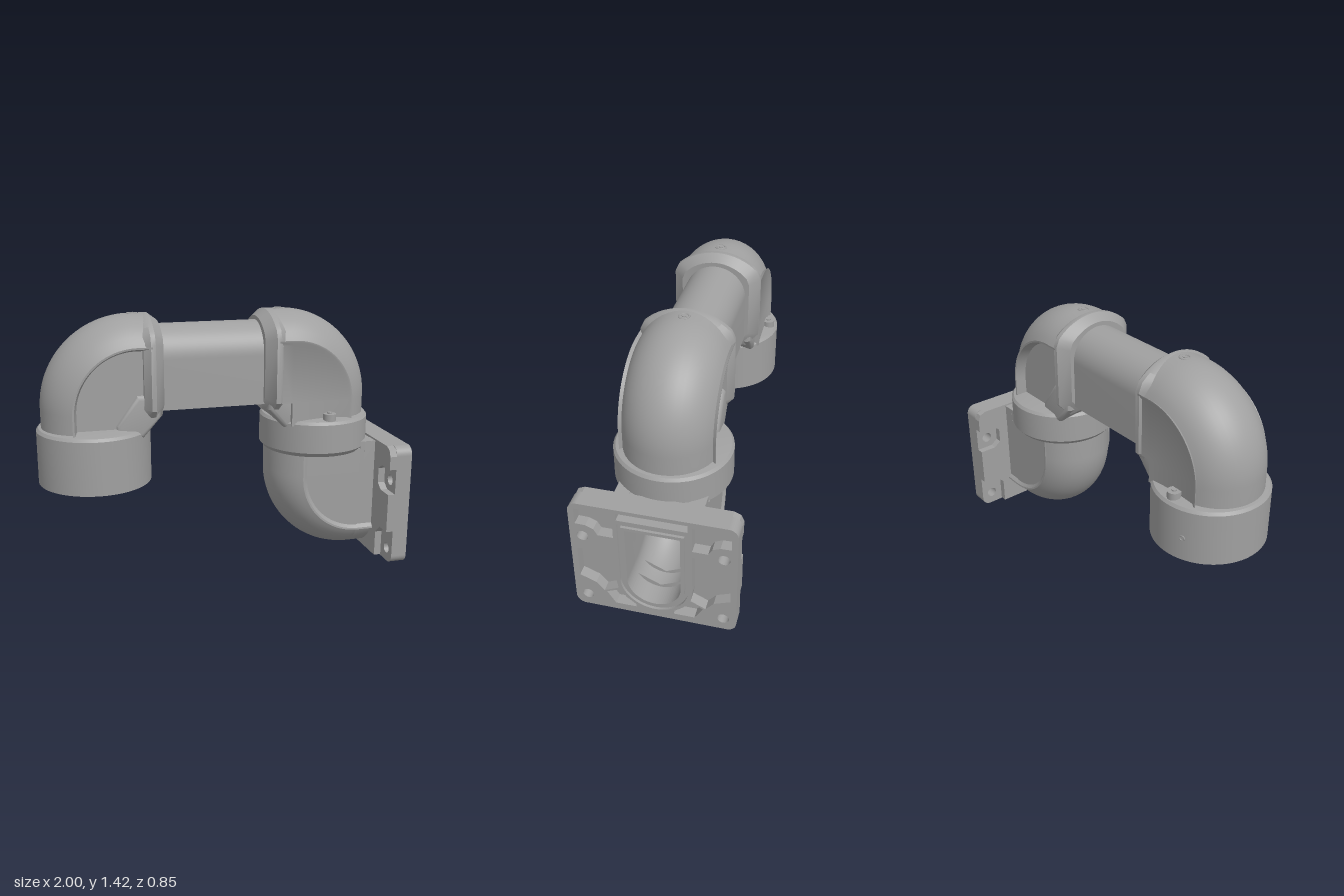
import * as THREE from 'three';
import { toCreasedNormals } from 'three/addons/utils/BufferGeometryUtils.js';

const grey = new THREE.MeshStandardMaterial({ color: 0xa0a0a0, side: THREE.DoubleSide });
grey.name = 'castGrey';

function part(name, geometry, parent, x = 0, y = 0, z = 0) {
  const mesh = new THREE.Mesh(geometry, grey);
  mesh.name = name;
  mesh.position.set(x, y, z);
  parent.add(mesh);
  return mesh;
}

// Skin a list of closed rings of points, optionally capping each end
function loft(rings, capStart = true, capEnd = true) {
  const pos = [];
  const tri = (a, b, c) => [a, b, c].forEach(p => pos.push(p.x, p.y, p.z));
  const n = rings[0].length;
  for (let i = 0; i < rings.length - 1; i++) {
    for (let j = 0; j < n; j++) {
      const k = (j + 1) % n, A = rings[i], B = rings[i + 1];
      tri(A[j], A[k], B[k]);
      tri(A[j], B[k], B[j]);
    }
  }
  const cap = (ring, flip) => {
    const c = ring.reduce((s, p) => s.add(p), new THREE.Vector3()).divideScalar(n);
    ring.forEach((p, j) => {
      const q = ring[(j + 1) % n];
      flip ? tri(c, q, p) : tri(c, p, q);
    });
  };
  if (capStart) cap(rings[0], true);
  if (capEnd) cap(rings[rings.length - 1], false);
  const g = new THREE.BufferGeometry();
  g.setAttribute('position', new THREE.Float32BufferAttribute(pos, 3));
  return toCreasedNormals(g, 0.55);
}

// Sweep a (radius, z) section through a quarter bend with straight ends; sy = -1 bends downwards
function bend(section, cx, cy, sy, legY, legX, capStart, capEnd) {
  const station = (a, dx, dy) => section.map(([r, z]) =>
    new THREE.Vector3(cx - r * Math.cos(a) + dx, cy + sy * (r * Math.sin(a) + dy), z));
  const rings = [station(0, 0, -legY)];
  const steps = 28;
  for (let i = 0; i <= steps; i++) rings.push(station(i / steps * Math.PI / 2, 0, 0));
  rings.push(station(Math.PI / 2, legX, 0));
  return loft(rings, capStart, capEnd);
}

// Domed elbow section with a panel of given depth on each side
function elbowSection(back, front) {
  const dome = [];
  for (let i = -10; i <= 10; i++) {
    const t = i / 10 * 1.3;
    dome.push([0.235 + 0.255 * Math.cos(t), 0.25 * Math.sin(t)]);
  }
  return [[0, -back], [0.318, -back], [0.335, -0.245], [0.345, -0.246], ...dome.slice(1, -1),
    [0.345, 0.246], [0.335, 0.245], [0.318, front], [0, front]];
}

// U outline: flat top, round bottom
function uPath(w, top, bottom, Type = THREE.Path) {
  const p = new Type();
  p.moveTo(-w, top);
  p.lineTo(-w, bottom + w);
  p.absarc(0, bottom + w, w, Math.PI, Math.PI * 2, false);
  p.lineTo(w, top);
  p.closePath();
  return p;
}

function polygon(points, Type = THREE.Path) {
  return new Type(points.map(([x, y]) => new THREE.Vector2(x, y)));
}

function extrude(shape, depth) {
  return new THREE.ExtrudeGeometry(shape, { depth, bevelEnabled: false, curveSegments: 20 });
}

function roundedPlate() {
  const w = 0.427, h = 0.69, r = 0.05, s = new THREE.Shape();
  s.absarc(w - r, r, r, -Math.PI / 2, 0);
  s.absarc(w - r, h - r, r, 0, Math.PI / 2);
  s.absarc(r - w, h - r, r, Math.PI / 2, Math.PI);
  s.absarc(r - w, r, r, Math.PI, Math.PI * 1.5);
  s.closePath();
  return s;
}

// Upper elbow with its collar, corner gusset and top screw
function upperElbow(name) {
  const g = new THREE.Group();
  g.name = name;
  part('elbowBody', bend(elbowSection(0.235, 0.19), -0.48, 0.93, 1, 0.13, 0.08, true, true), g);

  const ring = [[-0.245, -0.2], [-0.17, -0.285], [0.17, -0.285], [0.245, -0.2], [0.245, 0.15], [0.225, 0.195]];
  for (let i = 1; i < 16; i++) {
    const t = (1 - i / 8) * 0.76;
    ring.push([0.326 * Math.sin(t), -0.041 + 0.326 * Math.cos(t)]);
  }
  ring.push([-0.225, 0.195], [-0.245, 0.15]);
  const slice = (x, sz, sy) => ring.map(([z, y]) => new THREE.Vector3(x, 1.135 + y * sy, z * sz));
  part('tubeCollar', loft([slice(-0.445, 0.88, 0.95), slice(-0.41, 1, 1), slice(-0.385, 1, 1), slice(-0.335, 0.78, 0.87)]), g);

  const gusset = polygon([[-0.57, 0.81], [-0.57, 0.85], [-0.47, 0.99], [-0.38, 0.99], [-0.38, 0.9], [-0.46, 0.81]], THREE.Shape);
  part('cornerGusset', toCreasedNormals(new THREE.ExtrudeGeometry(gusset,
    { depth: 0.36, bevelThickness: 0.03, bevelSize: 0.025, bevelSegments: 4 }), 0.6), g, 0, 0, -0.18);

  const screw = part('topScrew', new THREE.TorusGeometry(0.026, 0.005, 6, 24), g, -0.465, 1.418, 0);
  screw.rotation.x = Math.PI / 2;
  part('topScrewHead', new THREE.CylinderGeometry(0.012, 0.012, 0.01, 6), g, -0.465, 1.418, 0);
  // Locking screw boss on the ring shoulder
  part('lockBoss', new THREE.CylinderGeometry(0.036, 0.036, 0.05, 24), g, -0.69, 0.84, -0.255);
  part('lockScrew', new THREE.CylinderGeometry(0.014, 0.014, 0.01, 6), g, -0.69, 0.867, -0.255);
  return g;
}

function lathe(points) {
  return toCreasedNormals(new THREE.LatheGeometry(points.map(p => new THREE.Vector2(...p)), 64), 0.5);
}

export function createModel() {
  const model = new THREE.Group();
  model.name = 'pipeArm';

  // Two identical elbows, one turned half a circle
  model.add(upperElbow('leftElbow'));
  const right = upperElbow('rightElbow');
  right.rotation.y = Math.PI;
  right.position.x = -0.115;
  model.add(right);

  // Connecting tube, flat sided with a round top
  const tubeAt = x => uPath(0.17, -0.92, -1.36).getPoints(20).slice(0, -1)
    .map(p => new THREE.Vector3(x, -p.y, p.x));
  part('crossTube', loft([tubeAt(-0.37), tubeAt(0.255)]), model);

  // Open socket on the left
  const socket = new THREE.Group();
  socket.name = 'leftSocket';
  socket.position.x = -0.69;
  model.add(socket);
  part('socketShell', lathe([[0, 0.7], [0.19, 0.7], [0.19, 0.57], [0.212, 0.57], [0.212, 0.63], [0.27, 0.63],
    [0.27, 0.52], [0.307, 0.52], [0.307, 0.81], [0.295, 0.825], [0.22, 0.84], [0, 0.84]]), socket);
  for (let i = 0; i < 4; i++) {
    const a = i * Math.PI / 2 + Math.PI / 4;
    const tab = part('socketTab', new THREE.BoxGeometry(0.06, 0.1, 0.05), socket, 0.245 * Math.cos(a), 0.585, 0.245 * Math.sin(a));
    tab.rotation.y = -a;
  }
  const pin = part('setScrew', new THREE.TorusGeometry(0.013, 0.004, 6, 20), socket, -0.102, 0.65, -0.289);
  pin.rotation.y = Math.atan2(-0.102, -0.289);

  // Swivel ring on the right
  part('rightRing', lathe([[0, 0.625], [0.285, 0.625], [0.307, 0.65], [0.307, 0.81], [0.295, 0.825], [0.22, 0.84], [0, 0.84]]), model, 0.575);

  // Lower hollow elbow; inner edge of the section is left to the bore
  const lower = new THREE.Group();
  lower.name = 'lowerElbow';
  model.add(lower);
  const section = elbowSection(0.232, 0.232);
  section[0][0] = section[section.length - 1][0] = 0;
  part('lowerBody', bend(section.map(([r, z]) => [r, z]), 0.78, 0.5, -1, 0.14, 0, true, false), lower);
  const skin = [...section.slice(1, -1), ...section.slice(1, -1).reverse().map(([r, z]) => [r - 0.02, z * 0.9])];
  part('lowerOutlet', loft([0.78, 0.88].map(x => skin.map(([r, z]) => new THREE.Vector3(x, 0.5 - r, z)))), lower);
  for (const s of [-1, 1]) {
    part('outletCheek', new THREE.BoxGeometry(0.1, 0.5, 0.075), lower, 0.83, 0.43, s * 0.192);
  }
  part('outletBridge', new THREE.BoxGeometry(0.07, 0.105, 0.46), lower, 0.84, 0.625, 0);
  const bore = uPath(0.14, 0, -0.48).getPoints(20).slice(0, -1).map(p => [-p.y, p.x]);
  part('bore', bend(bore, 0.84, 0.57, -1, 0.04, 0.05, true, false), lower);

  // Mounting flange, layered from back to front
  const flange = new THREE.Group();
  flange.name = 'mountingFlange';
  model.add(flange);
  const layer = (name, shape, x, depth) => {
    part(name, extrude(shape, depth), flange, x).rotation.y = Math.PI / 2;
  };
  const opening = () => uPath(0.14, 0.565, 0.09);
  const holes = [[0.36, 0.485], [-0.36, 0.485], [0.36, 0.075], [-0.36, 0.075]].map(([u, y]) =>
    new THREE.Path().absarc(u, y, 0.03, 0, Math.PI * 2));

  const half = [[0.29, 0.005], [0.29, 0.15], [0.34, 0.2], [0.427, 0.2], [0.427, 0.42], [0.33, 0.42],
    [0.29, 0.45], [0.29, 0.535], [0.33, 0.565], [0.427, 0.565], [0.427, 0.64], [0.412, 0.675], [0.377, 0.69]];
  const backShape = polygon([...half, ...half.map(([u, y]) => [-u, y]).reverse()], THREE.Shape);
  backShape.holes.push(opening());
  layer('flangeBack', backShape, 0.87, 0.04);

  const floor = roundedPlate();
  floor.holes.push(opening(), ...holes);
  layer('flangeFloor', floor, 0.91, 0.03);

  // Pockets between the ribs, mirrored left and right
  const pockets = [
    [[0.2, 0.505], [0.28, 0.505], [0.3, 0.54], [0.34, 0.558], [0.395, 0.56], [0.395, 0.655], [0.2, 0.655]],
    [[0.2, 0.465], [0.28, 0.465], [0.305, 0.425], [0.345, 0.405], [0.395, 0.39], [0.395, 0.205], [0.31, 0.17],
      [0.268, 0.12], [0.19, 0.158], [0.2, 0.22]],
    [[0.255, 0.115], [0.183, 0.148], [0.15, 0.1], [0.1, 0.06], [0.1, 0.042], [0.21, 0.042]],
  ];
  const cutouts = [polygon([[-0.18, 0.625], [0.18, 0.625], [0.18, 0.668], [-0.18, 0.668]])];
  for (const p of pockets) for (const s of [-1, 1]) cutouts.push(polygon(p.map(([u, y]) => [s * u, y])));

  const ribs = roundedPlate();
  ribs.holes.push(opening(), ...holes, ...cutouts);
  layer('flangeRibs', ribs, 0.94, 0.045);

  // Front face with the seal groove around the opening
  const face = roundedPlate();
  face.holes.push(uPath(0.178, 0.6, 0.05), ...holes, ...cutouts);
  layer('flangeFace', face, 0.985, 0.015);
  const lip = uPath(0.16, 0.583, 0.07, THREE.Shape);
  lip.holes.push(opening());
  layer('openingLip', lip, 0.985, 0.015);

  return model;
}
